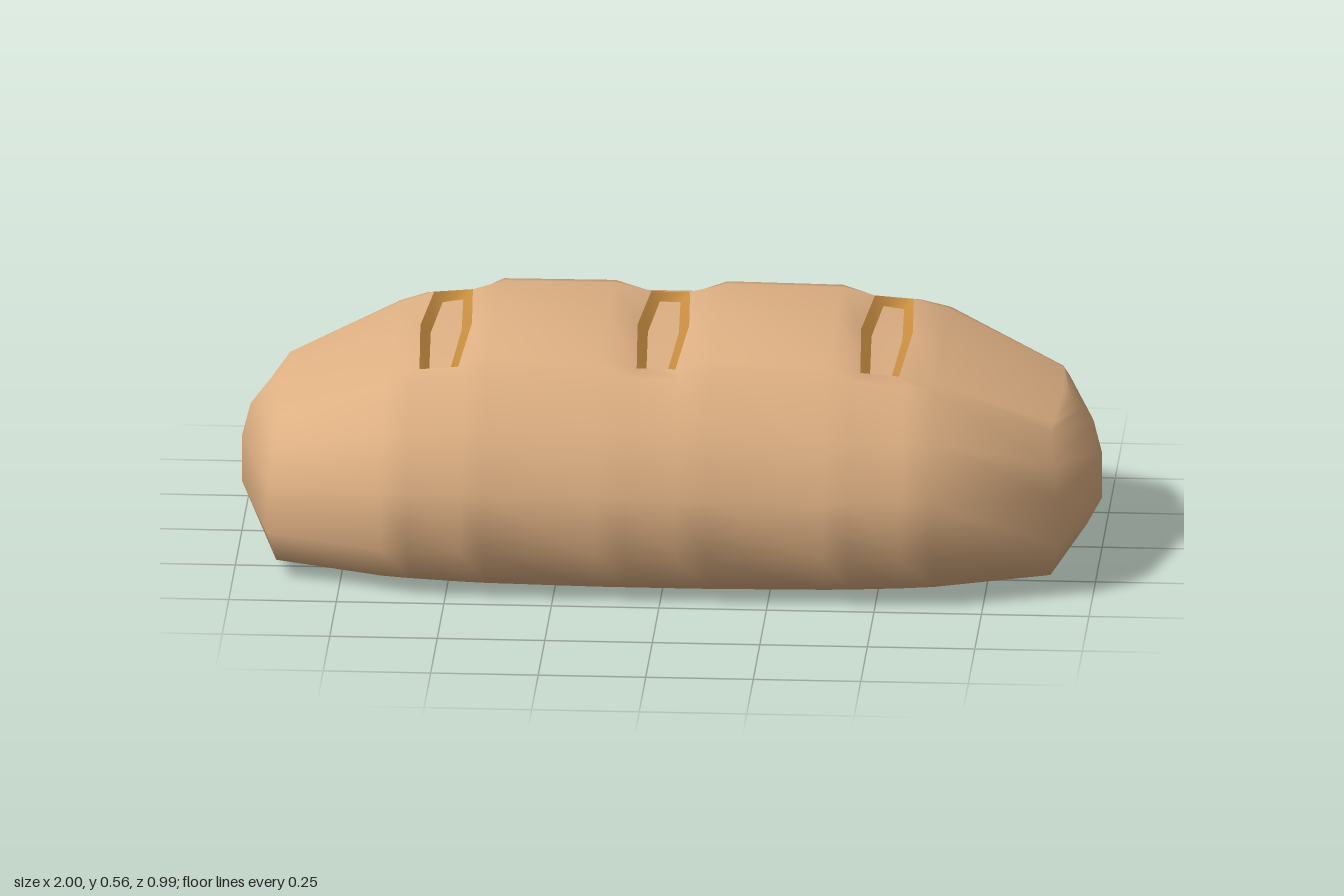
import * as THREE from 'three';

// Half cross-sections as [z, y], from the top centre down the side to the bottom centre
const MIDDLE = [[0, 0.56], [0.28, 0.53], [0.32, 0.525], [0.43, 0.41], [0.49, 0.265], [0.497, 0.125], [0.42, 0.025], [0, 0.003]];
const SHOULDER = [[0, 0.51], [0.27, 0.485], [0.305, 0.478], [0.41, 0.38], [0.465, 0.26], [0.475, 0.125], [0.40, 0.035], [0, 0.015]];
// Last ring before the end as [z, y, x], and the nose column as [x, y]
const END = [[0, 0.385, 0.91], [0.2, 0.375, 0.9], [0.24, 0.365, 0.895], [0.32, 0.315, 0.905],
  [0.355, 0.24, 0.92], [0.37, 0.125, 0.92], [0.33, 0.045, 0.9], [0, 0.03, 0.945]];
const NOSE = [[0.93, 0.367], [0.955, 0.345], [0.98, 0.315], [1, 0.235], [1, 0.125], [0.965, 0.06]];
// Score cuts: centre x and rim heights on the two long edges
const CUTS = [[-0.525, 0.515, 0.523], [-0.02, 0.527, 0.527], [0.5, 0.527, 0.52]];
const ROWS = 14;
const CUT_DROP = 0.013;

function meshFrom(name, positions, index, material) {
  const geometry = new THREE.BufferGeometry();
  geometry.setAttribute('position', new THREE.Float32BufferAttribute(positions, 3));
  geometry.setIndex(index);
  geometry.computeVertexNormals();
  const mesh = new THREE.Mesh(geometry, material);
  mesh.name = name;
  return mesh;
}

function quad(index, a, b, c, d) {
  if (a !== b && b !== c && a !== c) index.push(a, b, c);
  if (a !== c && c !== d && a !== d) index.push(a, c, d);
}

// Full ring of points from a function of the half-section row
function ring(pointAt) {
  return Array.from({ length: ROWS }, (_, j) => {
    const [x, y, z] = pointAt(j <= 7 ? j : ROWS - j);
    return [x, y, j <= 7 ? z : -z];
  });
}

function column(x, top, side = 0) {
  const t = Math.min(1, Math.abs(x) / 0.65) ** 3;
  return ring((k) => {
    const z = side && k === 1 ? 0.28 : THREE.MathUtils.lerp(MIDDLE[k][0], SHOULDER[k][0], t);
    let y = THREE.MathUtils.lerp(MIDDLE[k][1], SHOULDER[k][1], t);
    if (k === 0) y = top;
    if (k === 1) y = top - (side ? CUT_DROP : 0.027);
    if (k === 2) y = top - (side ? 0.024 : 0.034);
    return [x - (k === 1 ? side * 0.015 : 0), y, z];
  });
}

function createLoaf(material) {
  const endRing = (s) => ring((k) => [s * END[k][2], END[k][1], END[k][0]]);
  const cut = ([c, left, right]) => [column(c - 0.06, left, -1), column(c + 0.06, right, 1)];
  const columns = [
    endRing(-1), column(-0.65, 0.505),
    ...cut(CUTS[0]), column(-0.41, 0.56), column(-0.15, 0.56),
    ...cut(CUTS[1]), column(0.11, 0.562), column(0.38, 0.56),
    ...cut(CUTS[2]), column(0.63, 0.515), endRing(1),
  ];
  const openings = [2, 6, 10];
  const positions = columns.flat(2);
  const index = [];
  const at = (i, j) => i * ROWS + (j % ROWS);

  // Skin, left open where the cuts sit
  for (let i = 0; i < columns.length - 1; i++) {
    for (let j = 0; j < ROWS; j++) {
      if (openings.includes(i) && (j === 0 || j === ROWS - 1)) continue;
      quad(index, at(i, j), at(i, j + 1), at(i + 1, j + 1), at(i + 1, j));
    }
  }

  // Pointed ends
  for (const s of [-1, 1]) {
    const i = s < 0 ? 0 : columns.length - 1;
    const first = positions.length / 3;
    NOSE.forEach(([x, y]) => positions.push(s * x, y, 0));
    const nose = (j) => {
      const k = j <= 7 ? j : ROWS - j;
      return k === 0 ? at(i, 0) : k === 7 ? at(i, 7) : first + k - 1;
    };
    for (let j = 0; j < ROWS; j++) {
      const corners = [at(i, j), at(i, j + 1), nose(j + 1), nose(j)];
      quad(index, ...(s > 0 ? corners : corners.reverse()));
    }
  }
  return meshFrom('loaf', positions, index, material);
}

// One recessed score: sloping crust walls around a pale floor
function createCut([c, left, right], crust, crumb) {
  const depth = 0.018;
  const outline = (mid, end, length, drop) => [
    [-mid, 0], [-end, 1], [end, 1], [mid, 0], [end, -1], [-end, -1],
  ].map(([x, z]) => [c + x, (x < 0 ? left : right) - Math.abs(z) * CUT_DROP - drop, z * length]);
  const outer = outline(0.06, 0.045, 0.28, 0);
  const inner = outline(0.036, 0.024, 0.258, depth);
  const walls = [];
  for (let i = 0; i < 6; i++) {
    const n = (i + 1) % 6;
    quad(walls, i, n, 6 + n, 6 + i);
  }
  const group = new THREE.Group();
  group.name = 'scoreCut';
  group.add(
    meshFrom('cutWalls', [...outer, ...inner].flat(), walls, crust),
    meshFrom('cutFloor', inner.flat(), [0, 1, 2, 0, 2, 3, 0, 3, 4, 0, 4, 5], crumb),
  );
  return group;
}

export function createModel() {
  const bread = new THREE.MeshStandardMaterial({ color: 0xdeb083 });
  const crust = new THREE.MeshStandardMaterial({ color: 0xc68c40, side: THREE.DoubleSide });
  const model = new THREE.Group();
  model.name = 'breadLoaf';
  model.add(createLoaf(bread));
  CUTS.forEach((cut) => model.add(createCut(cut, crust, bread)));
  return model;
}
